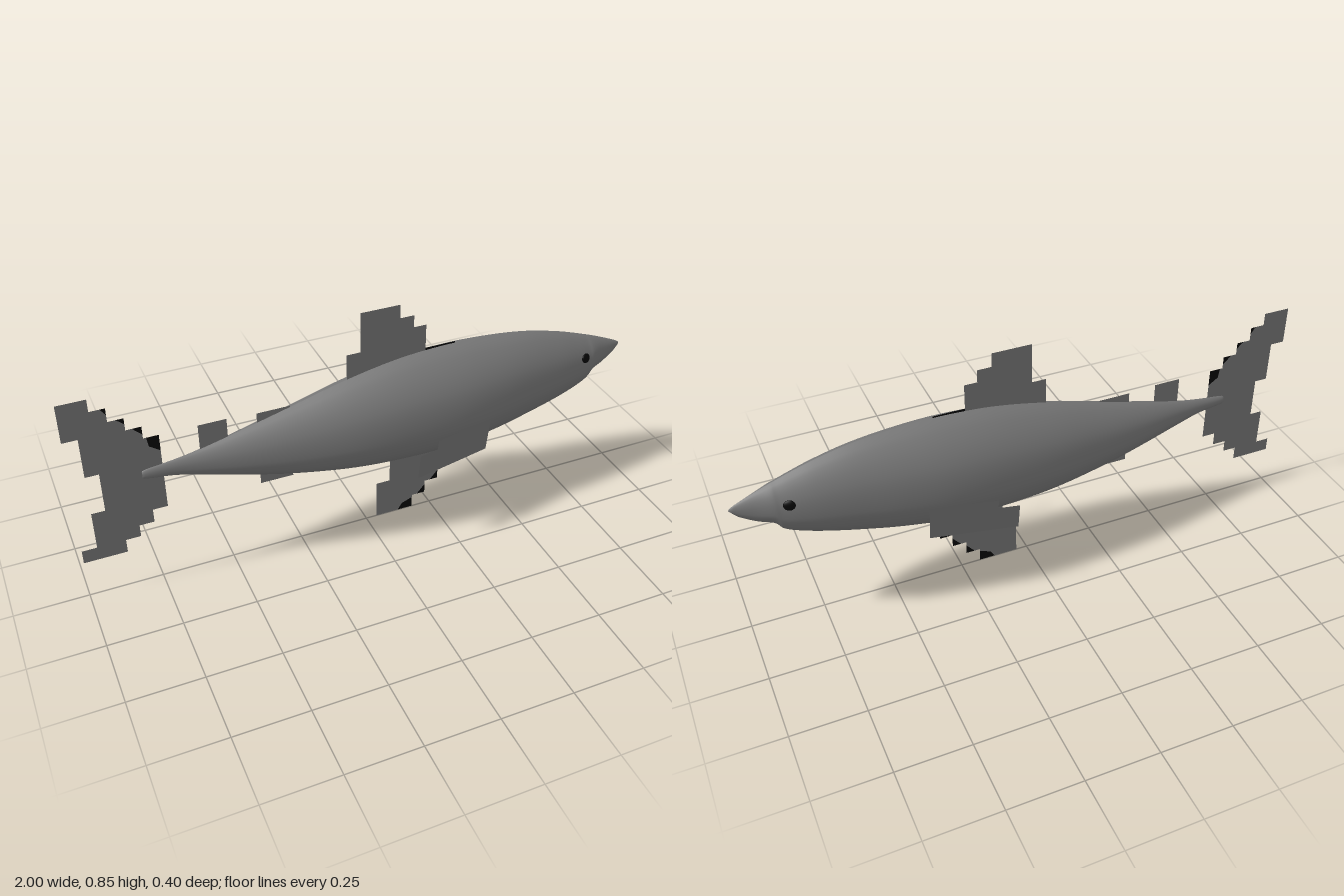
import * as THREE from 'three';

const skin = new THREE.MeshStandardMaterial({ color: 0x777777, side: THREE.DoubleSide });
skin.name = 'greySkin';
const black = new THREE.MeshStandardMaterial({ color: 0x060606, side: THREE.DoubleSide });
black.name = 'black';

// Body stations: x, top, bottom, half width
const STATIONS = [
  [-0.77, 0.436, 0.434, 0], [-0.765, 0.45, 0.418, 0.009], [-0.67, 0.462, 0.405, 0.017],
  [-0.58, 0.478, 0.382, 0.031], [-0.42, 0.518, 0.342, 0.064], [-0.27, 0.558, 0.31, 0.093],
  [-0.07, 0.612, 0.281, 0.126], [0.12, 0.648, 0.27, 0.142], [0.3, 0.66, 0.273, 0.145],
  [0.46, 0.655, 0.293, 0.131], [0.6, 0.64, 0.32, 0.11], [0.72, 0.613, 0.349, 0.09],
  [0.8, 0.588, 0.374, 0.073], [0.845, 0.572, 0.395, 0.061], [0.87, 0.563, 0.424, 0.053],
  [0.92, 0.543, 0.441, 0.032], [0.97, 0.521, 0.47, 0.014], [0.99, 0.511, 0.49, 0.007],
  [1, 0.502, 0.5, 0],
];
// Half cross-section from keel to sharp back ridge: width fraction, height fraction
const SECTION = [
  [0, 0], [0.34, 0.013], [0.63, 0.08], [0.85, 0.18], [0.97, 0.3], [1, 0.4],
  [0.96, 0.55], [0.84, 0.7], [0.6, 0.84], [0.28, 0.95], [0, 1],
];

function bodyGeometry(steps = 108, halfSides = 24) {
  const column = (k) => new THREE.SplineCurve(STATIONS.map((s) => new THREE.Vector2(s[0], s[k])));
  const [top, bottom, width] = [1, 2, 3].map(column);
  const half = new THREE.SplineCurve(SECTION.map((p) => new THREE.Vector2(...p))).getPoints(halfSides);
  // The ring starts and ends on the ridge, so the ridge stays creased
  const ring = [
    ...half.slice().reverse().map((p) => [p.x, p.y]),
    ...half.slice(1).map((p) => [-p.x, p.y]),
  ];
  const n = ring.length;
  const positions = [], index = [];
  for (let i = 0; i <= steps; i++) {
    const t = i / steps;
    const { x, y: high } = top.getPoint(t);
    const low = bottom.getPoint(t).y;
    const w = Math.max(0, width.getPoint(t).y);
    for (const [u, v] of ring) positions.push(x, low + (high - low) * v, w * u);
  }
  for (let i = 0; i < steps; i++) {
    for (let j = 0; j < n - 1; j++) {
      const a = i * n + j, b = a + n, c = a + 1, d = b + 1;
      index.push(a, c, b, b, c, d);
    }
  }
  const g = new THREE.BufferGeometry();
  g.setAttribute('position', new THREE.Float32BufferAttribute(positions, 3));
  g.setIndex(index);
  g.computeVertexNormals();
  return g;
}

const plate = (points) =>
  new THREE.ShapeGeometry(new THREE.Shape(points.map((p) => new THREE.Vector2(...p))));

export function createModel() {
  const model = new THREE.Group();
  model.name = 'shark';
  const add = (name, geometry, material = skin) => {
    const mesh = new THREE.Mesh(geometry, material);
    mesh.name = name;
    model.add(mesh);
    return mesh;
  };

  add('body', bodyGeometry());

  // Stepped fins in the middle plane
  add('dorsalFin', plate([
    [-0.07, 0.56], [0.215, 0.56], [0.215, 0.755], [0.17, 0.755], [0.17, 0.8], [0.12, 0.8],
    [0.12, 0.85], [-0.02, 0.85], [-0.02, 0.705], [-0.07, 0.705],
  ]));
  add('dorsalFinBase', plate([[0.215, 0.6], [0.325, 0.6], [0.325, 0.666], [0.215, 0.666]]), black);
  add('rearDorsalFin', plate([[-0.58, 0.43], [-0.485, 0.43], [-0.485, 0.57], [-0.58, 0.57]]));
  add('analFin', plate([[-0.385, 0.28], [-0.27, 0.28], [-0.27, 0.563], [-0.385, 0.563]]));

  // Belly fin with a black leading edge
  add('bellyFin', plate([
    [0.09, 0.3], [0.09, 0.145], [0.04, 0.145], [0.04, 0], [0.125, 0], [0.14, 0.025], [0.18, 0.04],
    [0.18, 0.05], [0.2, 0.05], [0.23, 0.085], [0.23, 0.1], [0.25, 0.1], [0.28, 0.135],
    [0.28, 0.15], [0.29, 0.15], [0.3, 0.18], [0.325, 0.205], [0.325, 0.3],
  ]));
  [
    [[0.125, 0], [0.18, 0], [0.18, 0.04], [0.14, 0.025]],
    [[0.2, 0.05], [0.23, 0.05], [0.23, 0.085]],
    [[0.25, 0.1], [0.28, 0.1], [0.28, 0.135]],
    [[0.29, 0.15], [0.325, 0.15], [0.325, 0.205], [0.3, 0.18]],
  ].forEach((points) => add('bellyFinEdge', plate(points), black));

  // Tail fin with black notches on the upper leading edge
  add('tailFin', plate([
    [-1, 0.755], [-1, 0.62], [-0.95, 0.62], [-0.95, 0.475], [-0.905, 0.475], [-0.905, 0.33],
    [-0.95, 0.33], [-0.95, 0.19], [-1, 0.19], [-1, 0.14], [-0.855, 0.14], [-0.855, 0.19],
    [-0.805, 0.19], [-0.805, 0.235], [-0.755, 0.235], [-0.755, 0.285], [-0.705, 0.285],
    [-0.705, 0.51], [-0.74, 0.535], [-0.745, 0.57], [-0.755, 0.57], [-0.755, 0.585],
    [-0.785, 0.615], [-0.805, 0.615], [-0.805, 0.638], [-0.83, 0.66], [-0.855, 0.66],
    [-0.855, 0.685], [-0.872, 0.71], [-0.905, 0.71], [-0.905, 0.755],
  ]));
  [
    [[-0.705, 0.51], [-0.705, 0.57], [-0.745, 0.57], [-0.74, 0.535]],
    [[-0.755, 0.585], [-0.755, 0.615], [-0.785, 0.615]],
    [[-0.805, 0.638], [-0.805, 0.66], [-0.83, 0.66]],
    [[-0.855, 0.685], [-0.855, 0.71], [-0.872, 0.71]],
  ].forEach((points) => add('tailFinEdge', plate(points), black));

  for (const [side, s] of [['left', -1], ['right', 1]]) {
    // Side fins, splayed away from the body towards the tail
    const fin = plate([
      [0.11, 0.28], [0.4, 0.28], [0.4, 0.418], [0.18, 0.418], [0.18, 0.382], [0.11, 0.382],
    ]);
    const p = fin.attributes.position;
    for (let i = 0; i < p.count; i++) {
      p.setZ(i, s * (0.125 + (0.4 - p.getX(i)) * 0.21 + (p.getY(i) - 0.28) * 0.15));
    }
    fin.computeVertexNormals();
    add(side + 'SideFin', fin);

    // Eyes
    const eye = add(side + 'Eye', new THREE.SphereGeometry(1, 20, 12), black);
    eye.scale.set(0.02, 0.017, 0.007);
    eye.position.set(0.822, 0.511, s * 0.061);
    eye.rotation.set(-0.3 * s, 0.35 * s, 0);
  }
  return model;
}
